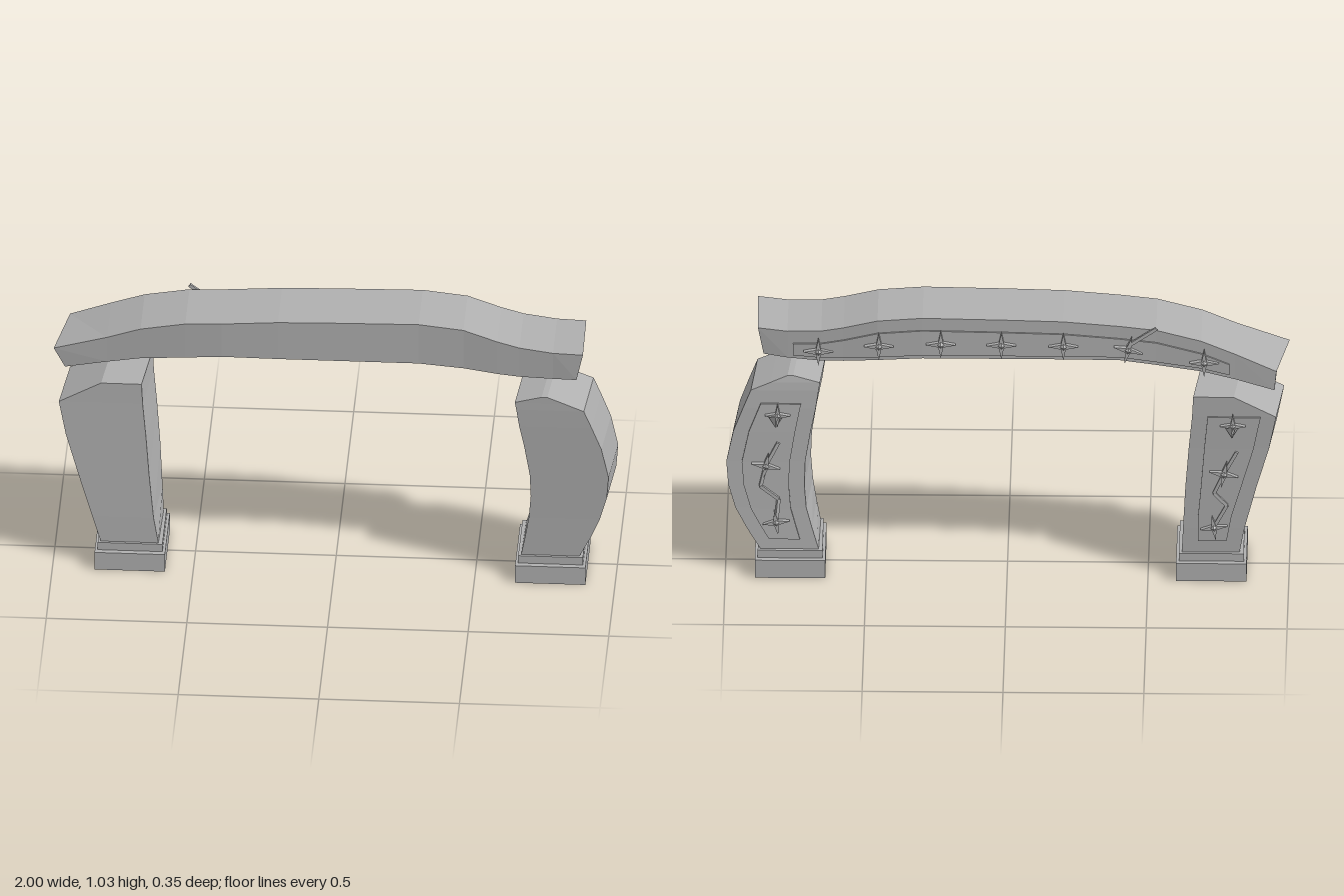
import * as THREE from 'three';

const stone = new THREE.MeshStandardMaterial({ color: 0xb0b0b0, flatShading: true });
stone.name = 'grey stone';

function add(parent, geometry, name) {
  const mesh = new THREE.Mesh(geometry, stone);
  mesh.name = name;
  parent.add(mesh);
  return mesh;
}

// Closed solid through rings of four corners, with flat faces
function loft(rings) {
  const pos = [];
  const quad = (a, b, c, d) => pos.push(...a, ...b, ...c, ...a, ...c, ...d);
  for (let i = 0; i < rings.length - 1; i++) {
    for (let k = 0; k < 4; k++) {
      const n = (k + 1) % 4;
      quad(rings[i][k], rings[i][n], rings[i + 1][n], rings[i + 1][k]);
    }
  }
  quad(...[...rings[0]].reverse());
  quad(...rings[rings.length - 1]);
  const g = new THREE.BufferGeometry();
  g.setAttribute('position', new THREE.Float32BufferAttribute(pos, 3));
  g.computeVertexNormals();
  return g;
}

// Linear lookup in a table whose first column is the key
function lookup(rows, t) {
  let i = 0;
  while (i < rows.length - 2 && t > rows[i + 1][0]) i++;
  const a = rows[i], b = rows[i + 1], f = (t - a[0]) / (b[0] - a[0]);
  return a.map((v, k) => v + (b[k] - v) * f);
}

// Four-pointed star with a raised middle, facing -z
function starGeometry(w, h, depth) {
  const shape = new THREE.Shape();
  for (let i = 0; i < 8; i++) {
    const a = i * Math.PI / 4, r = i % 2 ? 0.24 : 1;
    shape[i ? 'lineTo' : 'moveTo'](Math.cos(a) * r * w, Math.sin(a) * r * h);
  }
  shape.closePath();
  const g = new THREE.ExtrudeGeometry(shape, { depth, bevelEnabled: false });
  return g.translate(0, 0, -depth);
}

function addStar(parent, x, y, z, size, turn = 0) {
  const star = add(parent, starGeometry(size, size, 0.018), 'star');
  star.position.set(x, y, z);
  star.rotation.z = turn;
  const gem = add(star, new THREE.ConeGeometry(size * 0.27, 0.01, 4), 'starCentre');
  gem.rotation.x = -Math.PI / 2;
  gem.position.z = -0.022;
}

// Thin bar between two points
function addBar(parent, a, b, name) {
  const p = new THREE.Vector3(...a), q = new THREE.Vector3(...b);
  const bar = add(parent, new THREE.BoxGeometry(0.01, 0.012, p.distanceTo(q)), name);
  bar.position.copy(p).add(q).multiplyScalar(0.5);
  bar.lookAt(q);
}

// Beam stations: x, top, bottom, centre z
const BEAM = [
  [-0.98, 0.86, 0.785, -0.052], [-0.81, 0.92, 0.82, -0.037], [-0.69, 0.965, 0.845, -0.026],
  [-0.53, 1.0, 0.862, -0.012], [-0.4, 1.01, 0.875, -0.003], [-0.2, 1.025, 0.875, 0],
  [0, 1.03, 0.875, 0], [0.3, 1.035, 0.875, 0], [0.46, 1.02, 0.864, 0.005],
  [0.58, 0.985, 0.853, 0.018], [0.66, 0.967, 0.849, 0.026], [0.78, 0.958, 0.853, 0.04],
  [0.885, 0.963, 0.86, 0.055],
];
const HALF = 0.121;

function buildBeam() {
  const group = new THREE.Group();
  group.name = 'beam';
  const rings = BEAM.map(([x, t, b, z]) => [
    [x, b, z - HALF], [x, t, z - HALF], [x, t, z + HALF], [x, b, z + HALF]]);
  // slanted ends
  const first = rings[0], last = rings[rings.length - 1];
  [-0.95, -0.957, -1, -0.96].forEach((x, k) => { first[k][0] = x; });
  [0.865, 0.885, 0.888, 0.865].forEach((x, k) => { last[k][0] = x; });
  add(group, loft(rings), 'beamBody');

  // raised panel along the back
  const xs = [-0.79, ...BEAM.map((s) => s[0]).filter((x) => x > -0.75 && x < 0.7), 0.76];
  add(group, loft(xs.map((x) => {
    const [, t, b, z] = lookup(BEAM, x), zi = z - HALF + 0.01, zo = z - HALF - 0.006;
    return [[x, b + 0.014, zo], [x, t - 0.048, zo], [x, t - 0.048, zi], [x, b + 0.014, zi]];
  })), 'beamPanel');

  [-0.7, -0.43, -0.2, 0.02, 0.235, 0.455, 0.67].forEach((x) => {
    const [, t, b, z] = lookup(BEAM, x);
    addStar(group, x, (t + b) / 2 - 0.016, z - HALF - 0.004, 0.052, x === -0.43 ? 0.25 : 0);
  });
  addBar(group, [-0.43, 0.94, -0.138], [-0.53, 1.012, -0.143], 'starSpike');
  return group;
}

// Column rows: y, left x, right x (front corners), front z, back z
const COLUMNS = [
  {
    name: 'columnRight', baseX: -0.725, shift: 0.025,
    rows: [
      [0.1, -0.83, -0.625, 0.12, -0.108], [0.2, -0.86, -0.642, 0.118, -0.114],
      [0.37, -0.91, -0.658, 0.113, -0.124], [0.53, -0.955, -0.67, 0.107, -0.133],
      [0.66, -0.98, -0.682, 0.102, -0.141], [0.74, -0.83, -0.686, 0.1, -0.145]],
    panel: [0.15, 0.25, 0.37, 0.53, 0.66],
  },
  {
    name: 'columnLeft', baseX: 0.77, shift: 0.02,
    rows: [
      [0.1, 0.665, 0.872, 0.12, -0.107], [0.18, 0.68, 0.912, 0.124, -0.102],
      [0.26, 0.693, 0.945, 0.129, -0.098], [0.35, 0.7, 0.97, 0.135, -0.094],
      [0.44, 0.697, 0.977, 0.141, -0.09], [0.56, 0.678, 0.952, 0.149, -0.087],
      [0.65, 0.66, 0.918, 0.155, -0.084], [0.72, 0.65, 0.89, 0.159, -0.08],
      [0.75, 0.645, 0.82, 0.16, -0.076], [0.775, 0.74, 0.76, 0.161, -0.07]],
    panel: [0.14, 0.2, 0.26, 0.35, 0.44, 0.56, 0.67],
  },
];

function buildColumn({ name, baseX, shift, rows, panel }) {
  const group = new THREE.Group();
  group.name = name;

  // stepped foot
  add(group, new THREE.BoxGeometry(0.25, 0.07, 0.29), 'plinth').position.set(baseX, 0.035, 0.005);
  add(group, new THREE.BoxGeometry(0.23, 0.03, 0.25), 'plinthStep').position.set(baseX, 0.085, 0.005);

  // leaning shaft, twisted a little towards the top
  const twist = (y) => shift * Math.min(1, (y - 0.06) / 0.2);
  add(group, loft(rows.map(([y, l, r, f, b]) => {
    const s = twist(y);
    return [[l + s, y, b], [l, y, f], [r, y, f], [r + s, y, b]];
  })), 'shaft');

  // raised panel on the back
  add(group, loft(panel.map((y) => {
    const [, l0, r0, , b] = lookup(rows, y), s = twist(y), l = l0 + s + 0.055, r = r0 + s - 0.055;
    return [[l, y, b - 0.007], [l, y, b + 0.01], [r, y, b + 0.01], [r, y, b - 0.007]];
  })), 'columnPanel');

  // stars, gem and zigzag on the panel
  const at = (y, dx = 0, dz = -0.005) => {
    const [, l, r, , b] = lookup(rows, y);
    return [(l + r) / 2 + twist(y) + dx, y, b + dz];
  };
  addStar(group, ...at(0.63), 0.045);
  addStar(group, ...at(0.43), 0.052, 0.2);
  addStar(group, ...at(0.21), 0.048, -0.15);
  const gem = add(group, new THREE.ConeGeometry(0.03, 0.05, 4), 'pendant');
  gem.position.set(...at(0.605, 0, -0.012));
  gem.rotation.x = Math.PI;
  gem.scale.z = 0.7;
  const path = [at(0.52, -0.03, -0.012), at(0.43, 0, -0.012), at(0.35, 0.02, -0.012),
    at(0.3, -0.035, -0.012), at(0.21, 0, -0.012)];
  for (let i = 0; i < path.length - 1; i++) addBar(group, path[i], path[i + 1], 'zigzag');
  return group;
}

export function createModel() {
  const model = new THREE.Group();
  model.name = 'stoneArch';
  model.add(buildBeam(), ...COLUMNS.map(buildColumn));
  return model;
}
